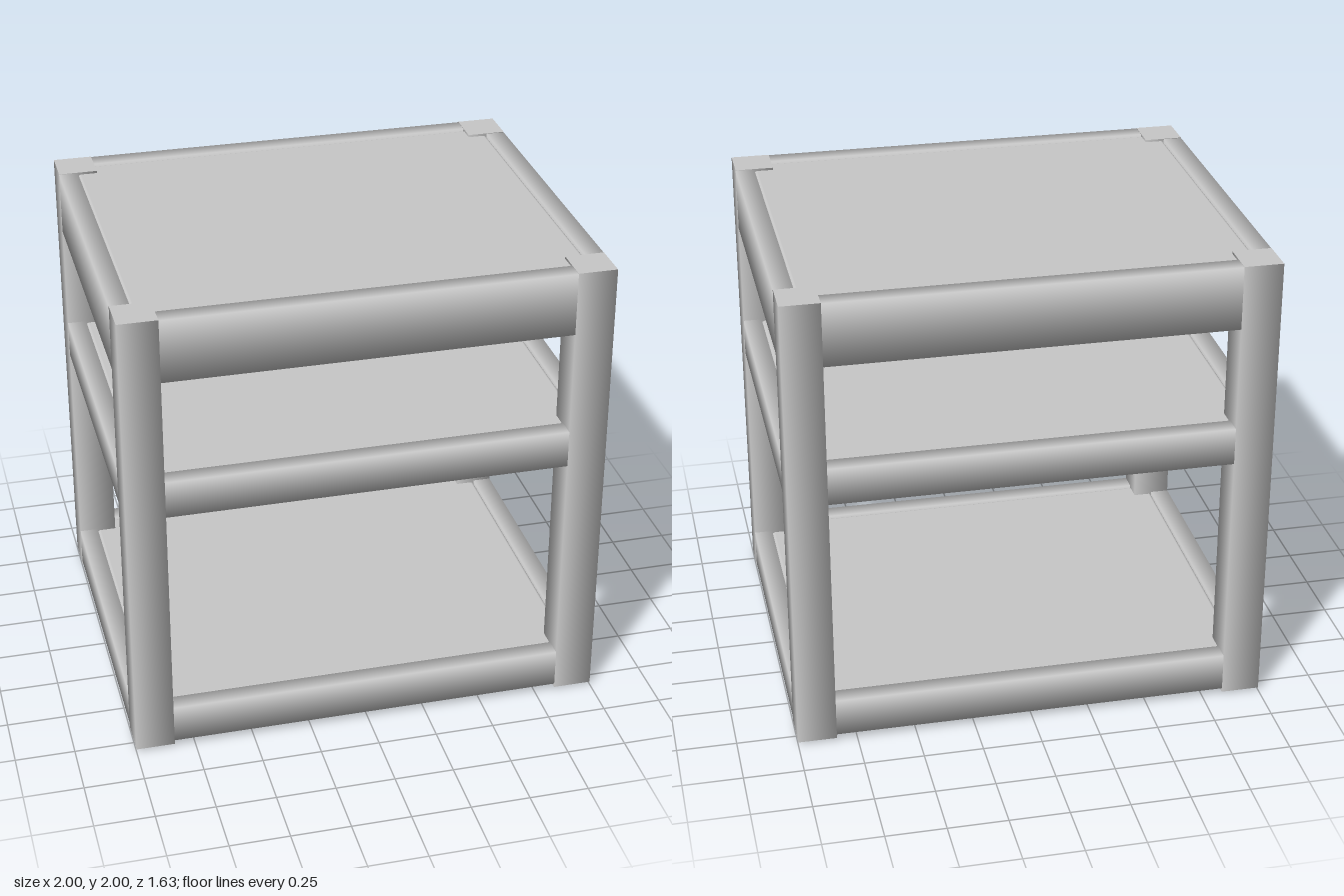
import * as THREE from 'three';
import { RoundedBoxGeometry } from 'three/addons/geometries/RoundedBoxGeometry.js';

// Square bar along one axis whose long sides share soft normals
function softBar(axis, sx, sy, sz) {
  const geo = new THREE.CylinderGeometry(Math.SQRT1_2, Math.SQRT1_2, 1, 4);
  geo.rotateY(Math.PI / 4);
  if (axis === 'x') geo.rotateZ(Math.PI / 2);
  if (axis === 'z') geo.rotateX(Math.PI / 2);
  // Stretch positions only, so the corner normals stay at 45 degrees
  const p = geo.attributes.position;
  for (let i = 0; i < p.count; i++) {
    p.setXYZ(i, p.getX(i) * sx, p.getY(i) * sy, p.getZ(i) * sz);
  }
  return geo;
}

export function createModel() {
  const group = new THREE.Group();
  const grey = new THREE.MeshStandardMaterial({ color: 0xc8c8c8 });
  grey.name = 'light grey';

  const add = (name, geo, x, y, z) => {
    const mesh = new THREE.Mesh(geo, grey);
    mesh.name = name;
    mesh.position.set(x, y, z);
    group.add(mesh);
  };

  const halfX = 1, halfZ = 0.815;   // outer half sizes
  const post = 0.163, rail = 0.08;  // post width and rail thickness
  const footH = 0.012;

  // Corner posts with round foot pads
  const postGeo = softBar('y', post, 2 - footH, post);
  const footGeo = new THREE.CylinderGeometry(0.055, 0.055, footH, 24);
  for (const sx of [-1, 1]) {
    for (const sz of [-1, 1]) {
      const x = sx * (halfX - post / 2), z = sz * (halfZ - post / 2);
      add('post', postGeo, x, 1 + footH / 2, z);
      add('footPad', footGeo, x, footH / 2, z);
    }
  }

  // Three tiers, each a frame of four rails around a panel
  const tiers = [
    { name: 'top', low: 1.73, high: 1.998 },
    { name: 'middle', low: 1.125, high: 1.285 },
    { name: 'bottom', low: 0.03, high: 0.195 },
  ];
  const panelH = 0.08;
  const panelGeo = new RoundedBoxGeometry(2 * (halfX - rail), panelH, 2 * (halfZ - rail), 3, 0.015);
  for (const { name, low, high } of tiers) {
    const h = high - low, y = (high + low) / 2;
    const longGeo = softBar('x', 2 * (halfX - post), h, rail);
    const sideGeo = softBar('z', rail, h, 2 * (halfZ - post));
    for (const s of [-1, 1]) {
      add(name + (s > 0 ? 'FrontRail' : 'BackRail'), longGeo, 0, y, s * (halfZ - rail / 2));
      add(name + (s > 0 ? 'LeftRail' : 'RightRail'), sideGeo, s * (halfX - rail / 2), y, 0);
    }
    add(name + 'Shelf', panelGeo, 0, high - 0.008 - panelH / 2, 0);
  }

  return group;
}
